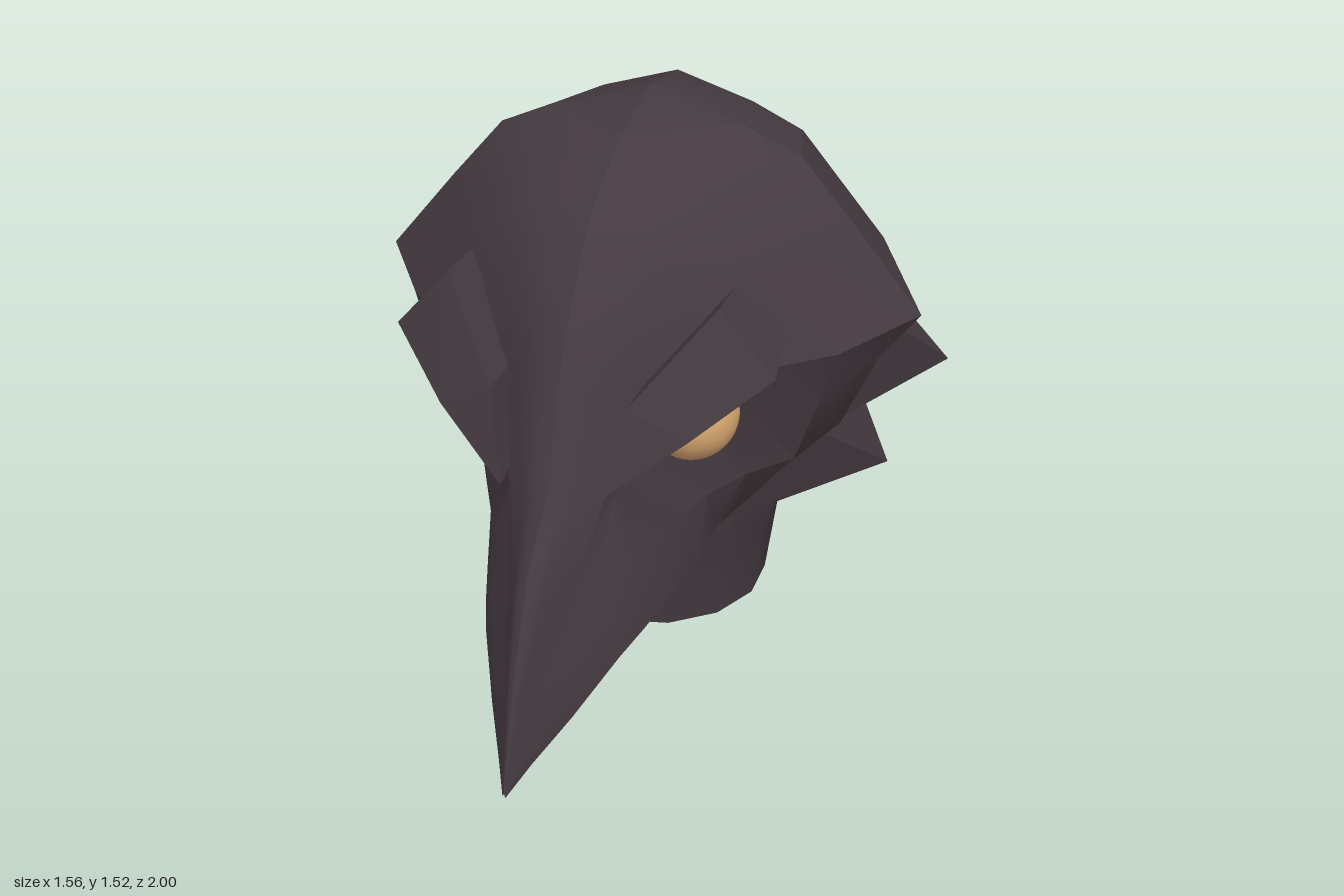
import * as THREE from 'three';
import { toCreasedNormals } from 'three/addons/utils/BufferGeometryUtils.js';
import { ConvexGeometry } from 'three/addons/geometries/ConvexGeometry.js';

const plumage = new THREE.MeshStandardMaterial({ color: 0x443a40 });
plumage.name = 'darkPlumage';
const amber = new THREE.MeshStandardMaterial({ color: 0xdcaa72 });
amber.name = 'amberEye';

// Head stations from nape to beak tip:
// z, crown y, rim x, rim y, cheek x, cheek y, jaw x, jaw y
const stations = [
  [-0.985, 1.015, 0.008, 1.01, 0.006, 1.008, 0.004, 1.006],
  [-0.83, 1.16, 0.39, 1.0, 0.32, 0.88, 0.12, 0.76],
  [-0.6, 1.38, 0.57, 0.98, 0.5, 0.85, 0.3, 0.36],
  [-0.4, 1.49, 0.66, 0.97, 0.6, 0.82, 0.36, 0.36],
  [-0.14, 1.525, 0.77, 0.97, 0.66, 0.82, 0.37, 0.39],
  [0.1, 1.46, 0.6, 0.94, 0.56, 0.8, 0.34, 0.42],
  [0.22, 1.4, 0.49, 0.95, 0.41, 0.8, 0.31, 0.42],
  [0.32, 1.34, 0.37, 0.95, 0.28, 0.79, 0.3, 0.39],
  [0.45, 1.18, 0.22, 0.87, 0.18, 0.74, 0.26, 0.34],
  [0.55, 1.01, 0.15, 0.78, 0.14, 0.67, 0.225, 0.3],
  [0.65, 0.73, 0.1, 0.57, 0.12, 0.49, 0.185, 0.26],
  [0.8, 0.57, 0.06, 0.4, 0.075, 0.33, 0.11, 0.16],
  [0.92, 0.31, 0.025, 0.21, 0.03, 0.18, 0.045, 0.085],
  [1.0, 0.04, 0.003, 0.034, 0.003, 0.032, 0.003, 0.028],
];

// Half outline: crown arc down to the rim, then cheek, jaw and hollow throat.
function halfOutline([, top, rimX, rimY, cheekX, cheekY, jawX, jawY]) {
  const arc = [[0, 1], [0.33, 0.87], [0.55, 0.74], [0.75, 0.42], [1, 0]];
  return [
    ...arc.map(([u, v]) => [u * rimX, rimY + v * (top - rimY)]),
    [cheekX, cheekY],
    [1.1 * (cheekX + jawX) / 2, (cheekY + jawY) / 2],
    [jawX, jawY],
    [0, jawY + 0.15 * jawX],
  ];
}

// Mirrors each half outline into a ring and skins the rings along z.
function loftHead() {
  const positions = [], index = [];
  const half = 9, n = half * 2 - 2;
  for (const station of stations) {
    const outline = halfOutline(station);
    for (let j = 0; j < n; j++) {
      const [x, y] = outline[j < half ? j : n - j];
      positions.push(j < half ? x : -x, y, station[0]);
    }
  }
  for (let i = 0; i < stations.length - 1; i++) {
    for (let j = 0; j < n; j++) {
      const a = i * n + j, b = i * n + (j + 1) % n, c = a + n, d = b + n;
      if (j < n / 2) index.push(a, c, b, b, c, d);
      else index.push(a, c, d, a, d, b);
    }
  }
  const geo = new THREE.BufferGeometry();
  geo.setAttribute('position', new THREE.Float32BufferAttribute(positions, 3));
  geo.setIndex(index);
  return toCreasedNormals(geo, 0.45);
}

// Solid hull through a few corners; side = -1 mirrors it.
const hull = (corners, side = 1) =>
  new ConvexGeometry(corners.map(([x, y, z]) => new THREE.Vector3(x * side, y, z)));

const brow = [
  [0.13, 0.72, 0.65], [0.18, 0.95, 0.575], [0.36, 1.17, 0.4], [0.51, 1.0, 0.4], [0.33, 0.868, 0.55],
  [0.13, 0.75, 0.5], [0.18, 0.95, 0.42], [0.36, 1.165, 0.24], [0.48, 1.02, 0.18],
];

// Each tuft is a tip followed by the corners of its root
const upperCheekTuft = [[0.78, 0.6, -0.64], [0.53, 0.6, -0.12], [0.66, 0.86, -0.3], [0.53, 0.89, -0.6], [0.46, 0.55, -0.55]];
const lowerCheekTuft = [[0.64, 0.28, -0.53], [0.3, 0.41, 0.18], [0.48, 0.6, -0.1], [0.52, 0.6, -0.5], [0.36, 0.33, -0.3], [0.3, 0.42, -0.6]];
const napeTuft = [[0.48, 0.44, -0.87], [0.52, 0.87, -0.62], [0.17, 0.85, -0.8], [0.14, 0.5, -0.64], [0.24, 0.34, -0.5], [0.47, 0.48, -0.46]];
const centreTuft = [
  [0, 0.42, -1], [0, 0.8, -0.85], [0.2, 0.8, -0.78], [-0.2, 0.8, -0.78],
  [0.22, 0.5, -0.62], [-0.22, 0.5, -0.62], [0, 0.31, -0.6],
];

export function createModel() {
  const model = new THREE.Group();
  model.name = 'birdHead';
  const add = (name, geo, material = plumage) => {
    const mesh = new THREE.Mesh(geo, material);
    mesh.name = name;
    model.add(mesh);
    return mesh;
  };

  // Skull and hooked beak share one continuous skin
  add('skullAndBeak', loftHead());

  // Flared neck with a closed base
  const neckProfile = [[0, 0], [0.342, 0], [0.372, 0.23], [0.425, 0.4], [0.42, 0.5]];
  const neck = new THREE.LatheGeometry(neckProfile.map(([x, y]) => new THREE.Vector2(x, y)), 14);
  add('neck', toCreasedNormals(neck, 0.5)).position.z = -0.2;

  add('centreNapeTuft', hull(centreTuft));

  for (const side of [1, -1]) {
    const label = side > 0 ? 'left' : 'right';

    // Pointed feather tufts
    add(`${label}UpperCheekTuft`, hull(upperCheekTuft, side));
    add(`${label}LowerCheekTuft`, hull(lowerCheekTuft, side));
    add(`${label}NapeTuft`, hull(napeTuft, side));

    // Slanted brow above the eye
    add(`${label}Brow`, hull(brow, side));

    // Eyeball and a thin pupil cap lying on it
    const eye = new THREE.Vector3(0.268 * side, 0.825, 0.312);
    add(`${label}Eye`, new THREE.SphereGeometry(0.126, 24, 16), amber).position.copy(eye);
    const pupil = add(`${label}Pupil`, new THREE.SphereGeometry(0.129, 12, 3, 0, Math.PI * 2, 0, 0.22));
    pupil.position.copy(eye);
    pupil.quaternion.setFromUnitVectors(
      new THREE.Vector3(0, 1, 0), new THREE.Vector3(-0.02 * side, -0.032, 0.115).normalize());
  }
  return model;
}
